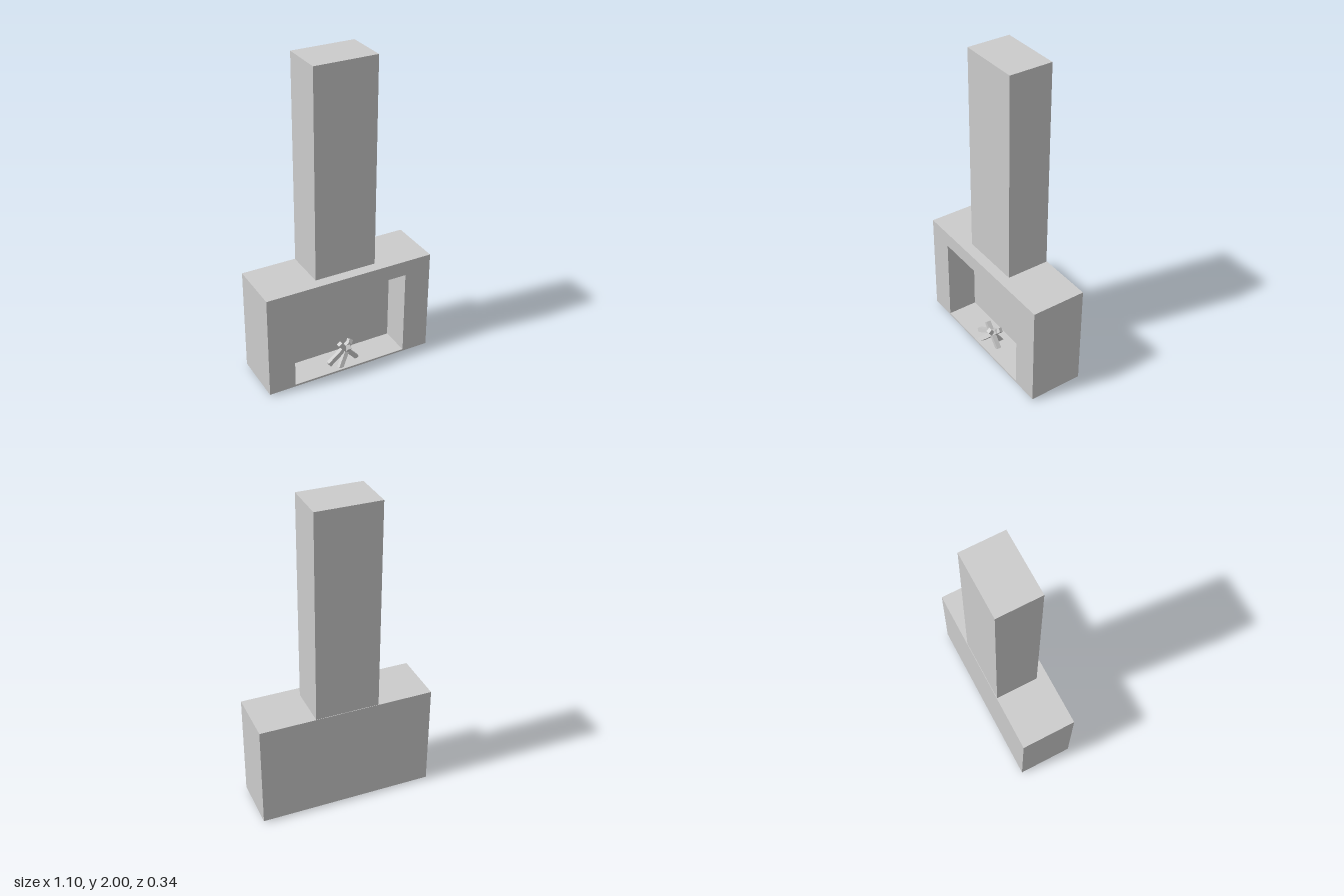
import * as THREE from 'three';

const material = new THREE.MeshStandardMaterial({ color: 0xcccccc, flatShading: true });

function addMesh(parent, name, geometry) {
  const mesh = new THREE.Mesh(geometry, material);
  mesh.name = name;
  parent.add(mesh);
  return mesh;
}

// Box given by its lower and upper corners
function addBlock(parent, name, min, max) {
  const a = new THREE.Vector3(...min);
  const b = new THREE.Vector3(...max);
  const size = b.clone().sub(a);
  const mesh = addMesh(parent, name, new THREE.BoxGeometry(size.x, size.y, size.z));
  mesh.position.copy(a).add(b).multiplyScalar(0.5);
  return mesh;
}

// Square stick running between two points
function addLog(parent, from, to, thickness) {
  const a = new THREE.Vector3(...from);
  const b = new THREE.Vector3(...to);
  const log = addMesh(parent, 'log', new THREE.BoxGeometry(thickness, a.distanceTo(b), thickness));
  log.position.copy(a).add(b).multiplyScalar(0.5);
  log.quaternion.setFromUnitVectors(new THREE.Vector3(0, 1, 0), b.sub(a).normalize());
}

function rectangle(path, x0, y0, x1, y1) {
  return path.moveTo(x0, y0).lineTo(x1, y0).lineTo(x1, y1).lineTo(x0, y1).closePath();
}

export function createModel() {
  const model = new THREE.Group();
  model.name = 'fireplace';

  const bottom = 0.015, top = 0.68;
  const back = -0.172, front = 0.172, recess = -0.02;

  // Surround with the firebox opening cut through
  const outline = rectangle(new THREE.Shape(), -0.548, bottom, 0.548, top);
  outline.holes.push(rectangle(new THREE.Path(), -0.378, 0.027, 0.376, 0.583));
  const surround = addMesh(model, 'surround',
    new THREE.ExtrudeGeometry(outline, { depth: front - recess, bevelEnabled: false }));
  surround.position.z = recess;

  // Solid masonry closing the firebox
  addBlock(model, 'backWall', [-0.548, bottom, back], [0.548, top, recess]);

  // Chimney stack
  addBlock(model, 'chimney', [-0.2, top, -0.169], [0.198, 2, 0.103]);

  // Leaning pile of logs
  const logs = new THREE.Group();
  logs.name = 'logPile';
  model.add(logs);
  [
    [[-0.04, 0.165, 0.1], [0.08, 0.028, 0.1]],
    [[-0.12, 0.045, 0.11], [0.04, 0.135, 0.08]],
    [[-0.062, 0.02, 0.148], [0.055, 0.147, 0.065]],
    [[0.015, 0.01, 0.03], [0.012, 0.14, 0.125]],
  ].forEach(([from, to]) => addLog(logs, from, to, 0.028));

  return model;
}
